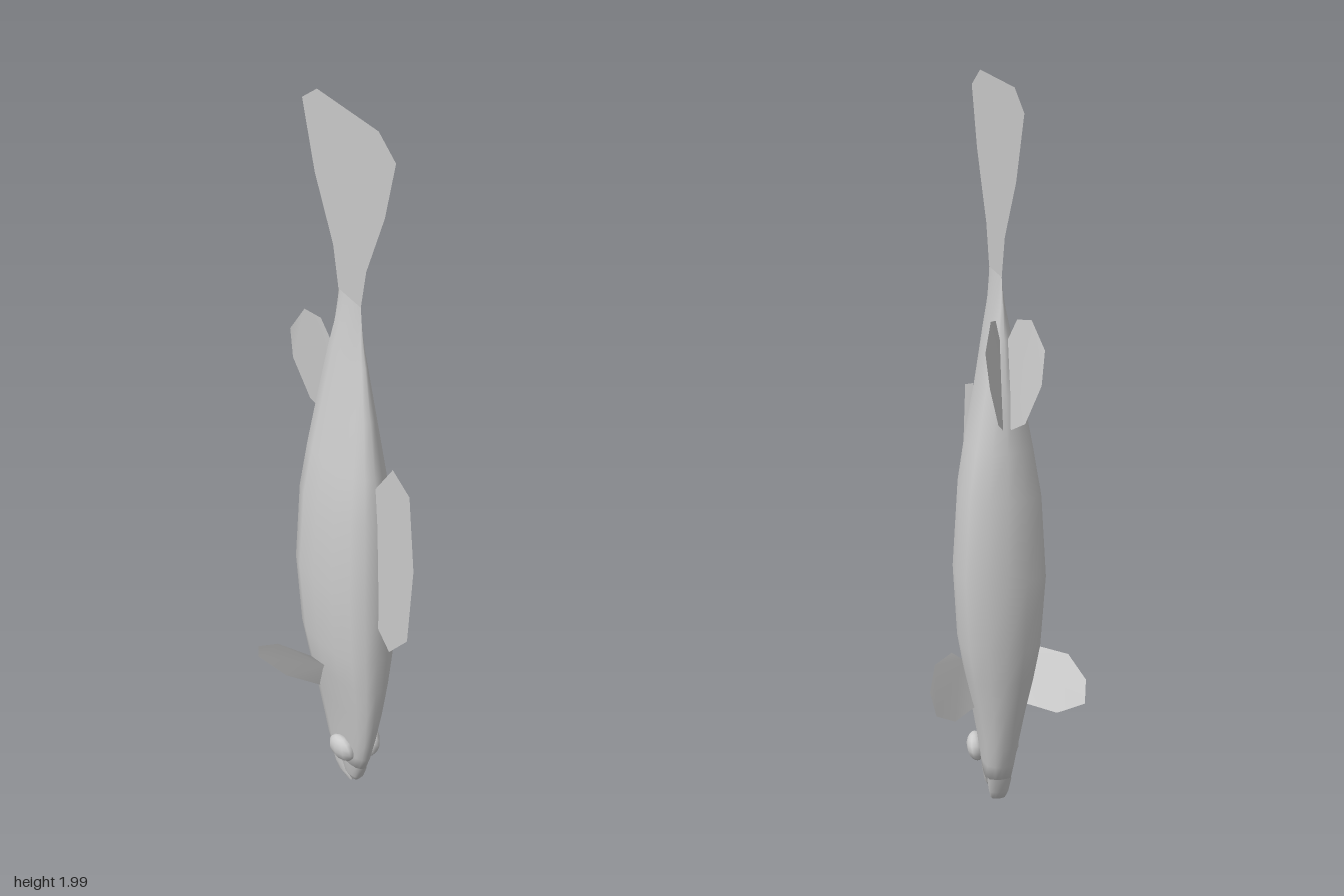
import * as THREE from 'three';

const skin = new THREE.MeshStandardMaterial({ color: 0xcccccc });
const finSkin = new THREE.MeshStandardMaterial({ color: 0xcccccc, side: THREE.DoubleSide });

// Half cross-section from belly to back: [share of half width, share of depth]
const half = [[0, 0], [0.45, 0.03], [0.89, 0.1], [1, 0.27], [0.94, 0.49], [0.78, 0.71], [0.56, 0.89], [0.29, 0.97], [0, 1]];
const section = [...half, ...half.slice(1, -1).reverse().map(([x, t]) => [-x, t])];

// Skin rows of [y, belly z, back z, half width], listed upwards
function loft(name, rows) {
  const positions = [], index = [], n = section.length;
  rows.forEach(([y, z0, z1, w], r) => {
    section.forEach(([x, t], i) => {
      positions.push(x * w, y, z0 + (z1 - z0) * t);
      if (r === rows.length - 1) return;
      const a = r * n + i, b = r * n + (i + 1) % n;
      index.push(a, a + n, b, b, a + n, b + n);
    });
  });
  const geometry = new THREE.BufferGeometry();
  geometry.setAttribute('position', new THREE.Float32BufferAttribute(positions, 3));
  geometry.setIndex(index);
  geometry.computeVertexNormals();
  const mesh = new THREE.Mesh(geometry, skin);
  mesh.name = name;
  return mesh;
}

// Thin fin from an outline of [z, y, x]
function fin(name, outline, side = 1) {
  const flat = outline.map(([z, y]) => new THREE.Vector2(z, y));
  const geometry = new THREE.BufferGeometry();
  geometry.setAttribute('position', new THREE.Float32BufferAttribute(
    outline.flatMap(([z, y, x = 0]) => [x * side, y, z]), 3));
  geometry.setIndex(THREE.ShapeUtils.triangulateShape(flat, []).flat());
  geometry.computeVertexNormals();
  const mesh = new THREE.Mesh(geometry, finSkin);
  mesh.name = name;
  return mesh;
}

export function createModel() {
  const fish = new THREE.Group();
  fish.name = 'fish';

  // Body, nose down, thinning to an edge at the tail
  fish.add(loft('body', [
    [0.09, -0.05, -0.05, 0],
    [0.09, -0.126, 0.042, 0.034],
    [0.14, -0.142, 0.07, 0.042],
    [0.2, -0.16, 0.095, 0.05],
    [0.3, -0.178, 0.122, 0.068],
    [0.4, -0.193, 0.136, 0.09],
    [0.5, -0.204, 0.144, 0.109],
    [0.7, -0.217, 0.148, 0.122],
    [0.92, -0.211, 0.138, 0.108],
    [1.05, -0.2, 0.121, 0.085],
    [1.2, -0.182, 0.09, 0.055],
    [1.34, -0.157, 0.056, 0.029],
    [1.42, -0.14, 0.037, 0.012],
    [1.5, -0.125, 0.025, 0],
  ]));

  // Split mouth
  fish.add(loft('snout', [
    [0.034, -0.01, -0.01, 0],
    [0.036, -0.028, 0.003, 0.012],
    [0.055, -0.045, 0.023, 0.024],
    [0.1, -0.07, 0.048, 0.033],
  ]));
  fish.add(loft('lowerJaw', [
    [0.01, -0.045, -0.045, 0],
    [0.012, -0.06, -0.035, 0.008],
    [0.03, -0.1, -0.039, 0.02],
    [0.055, -0.115, -0.045, 0.027],
    [0.1, -0.13, -0.045, 0.034],
  ]));

  // Tail and back fins on the centre plane
  fish.add(fin('tailFin', [
    [0.028, 1.47], [0.025, 1.5], [0.06, 1.61], [0.175, 1.79], [0.24, 1.95], [0.135, 2],
    [-0.265, 2], [-0.37, 1.95], [-0.285, 1.77], [-0.16, 1.61], [-0.125, 1.5], [-0.128, 1.47],
  ]));
  fish.add(fin('dorsalFin', [
    [0.11, 1.01], [0.13, 1.03], [0.235, 1.13], [0.34, 1.1], [0.37, 0.9],
    [0.335, 0.675], [0.22, 0.58], [0.15, 0.61], [0.12, 0.63],
  ]));

  // Paired fins and eyes
  for (const [label, side] of [['left', 1], ['right', -1]]) {
    fish.add(fin(label + 'PectoralFin', [
      [-0.025, 0.42, 0.085], [-0.045, 0.45, 0.12], [-0.135, 0.455, 0.184], [-0.215, 0.41, 0.213],
      [-0.248, 0.355, 0.202], [-0.19, 0.31, 0.14], [-0.1, 0.31, 0.066],
    ], side));
    fish.add(fin(label + 'PelvicFin', [
      [-0.15, 1.34, 0.01], [-0.18, 1.4, 0.028], [-0.235, 1.41, 0.053], [-0.281, 1.34, 0.077],
      [-0.289, 1.25, 0.067], [-0.245, 1.14, 0.035], [-0.19, 1.11, 0.01],
    ], side));

    const eye = new THREE.Mesh(new THREE.SphereGeometry(1, 10, 8), skin);
    eye.name = label + 'Eye';
    eye.scale.set(0.026, 0.04, 0.05);
    eye.position.set(0.044 * side, 0.152, -0.005);
    eye.rotation.set(0, -0.25 * side, -0.2 * side);
    fish.add(eye);
  }
  return fish;
}
